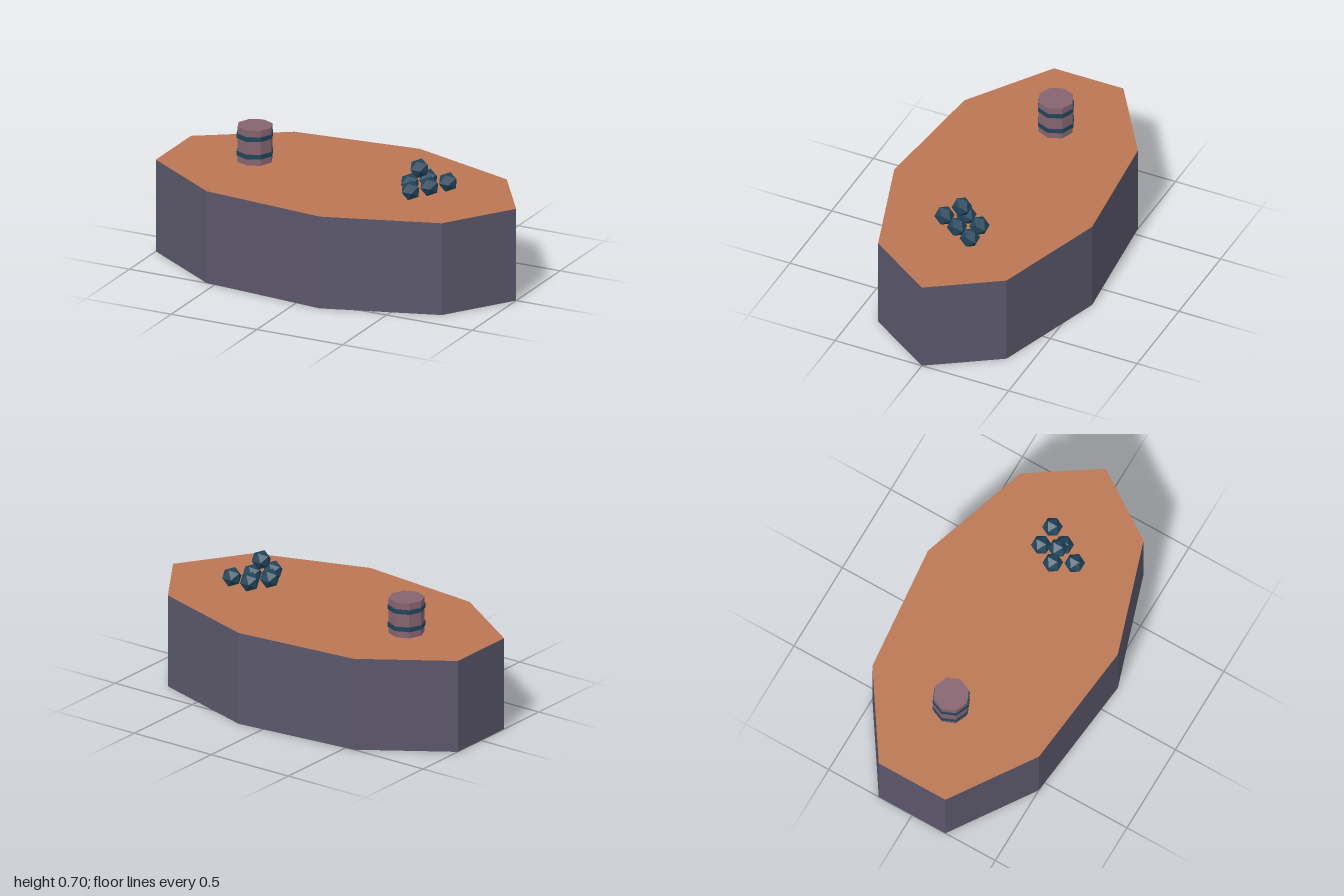
import * as THREE from 'three';

const hullMat = new THREE.MeshStandardMaterial({ name: 'slatePurple', color: 0x5a566a, side: THREE.DoubleSide });
const deckMat = new THREE.MeshStandardMaterial({ name: 'warmPlank', color: 0xba7653, side: THREE.DoubleSide });
const barrelMat = new THREE.MeshStandardMaterial({ name: 'mauveWood', color: 0x85636f });
const ironMat = new THREE.MeshStandardMaterial({ name: 'darkIron', color: 0x21445a });

const DECK_Y = 0.508;

function addMesh(parent, name, geometry, material, x = 0, y = 0, z = 0) {
  const mesh = new THREE.Mesh(geometry, material);
  mesh.name = name;
  mesh.position.set(x, y, z);
  parent.add(mesh);
  return mesh;
}

// Flat-faced eight-sided cylinder
function octagon(radius, height) {
  const geometry = new THREE.CylinderGeometry(radius, radius, height, 8).toNonIndexed();
  geometry.computeVertexNormals();
  return geometry;
}

// Vertical walls standing on a closed outline of [x, z] points
function wallGeometry(outline, height) {
  const positions = [];
  outline.forEach(([ax, az], i) => {
    const [bx, bz] = outline[(i + 1) % outline.length];
    positions.push(ax, 0, az, bx, 0, bz, bx, height, bz);
    positions.push(ax, 0, az, bx, height, bz, ax, height, az);
  });
  const geometry = new THREE.BufferGeometry();
  geometry.setAttribute('position', new THREE.Float32BufferAttribute(positions, 3));
  geometry.computeVertexNormals();
  return geometry;
}

export function createModel() {
  const model = new THREE.Group();
  model.name = 'boat';

  // Hull outline: stern to bow along the front, then mirrored back
  const half = [[-1, 0.2], [-0.55, 0.5], [0.145, 0.57], [0.755, 0.37]];
  const outline = [...half, [1, 0], ...half.map(([x, z]) => [x, -z]).reverse()];

  // Open-bottomed hull and flat deck
  addMesh(model, 'hull', wallGeometry(outline, DECK_Y), hullMat);
  const deckShape = new THREE.Shape(outline.map(([x, z]) => new THREE.Vector2(x, -z)));
  const deckGeometry = new THREE.ShapeGeometry(deckShape).rotateX(-Math.PI / 2);
  addMesh(model, 'deck', deckGeometry, deckMat, 0, DECK_Y, 0);

  // Barrel with two iron hoops near the stern
  const barrel = new THREE.Group();
  barrel.name = 'barrel';
  barrel.position.set(-0.541, DECK_Y, -0.032);
  model.add(barrel);
  addMesh(barrel, 'barrelBody', octagon(0.095, 0.193), barrelMat, 0, 0.0965, 0);
  for (const y of [0.048, 0.145]) {
    addMesh(barrel, 'barrelHoop', octagon(0.1, 0.024), ironMat, 0, y, 0);
  }

  // Pile of iron balls near the bow: five on the deck, one on top
  const pile = new THREE.Group();
  pile.name = 'cannonballPile';
  model.add(pile);
  const ballGeometry = new THREE.IcosahedronGeometry(0.0535).rotateY(Math.PI / 2);
  const balls = [
    [0.452, 0.561, 0.133],
    [0.397, 0.561, 0.033], [0.51, 0.561, 0.033],
    [0.452, 0.561, -0.068], [0.567, 0.561, -0.068],
    [0.452, 0.651, 0.033],
  ];
  for (const [x, y, z] of balls) addMesh(pile, 'cannonball', ballGeometry, ironMat, x, y, z);

  return model;
}
